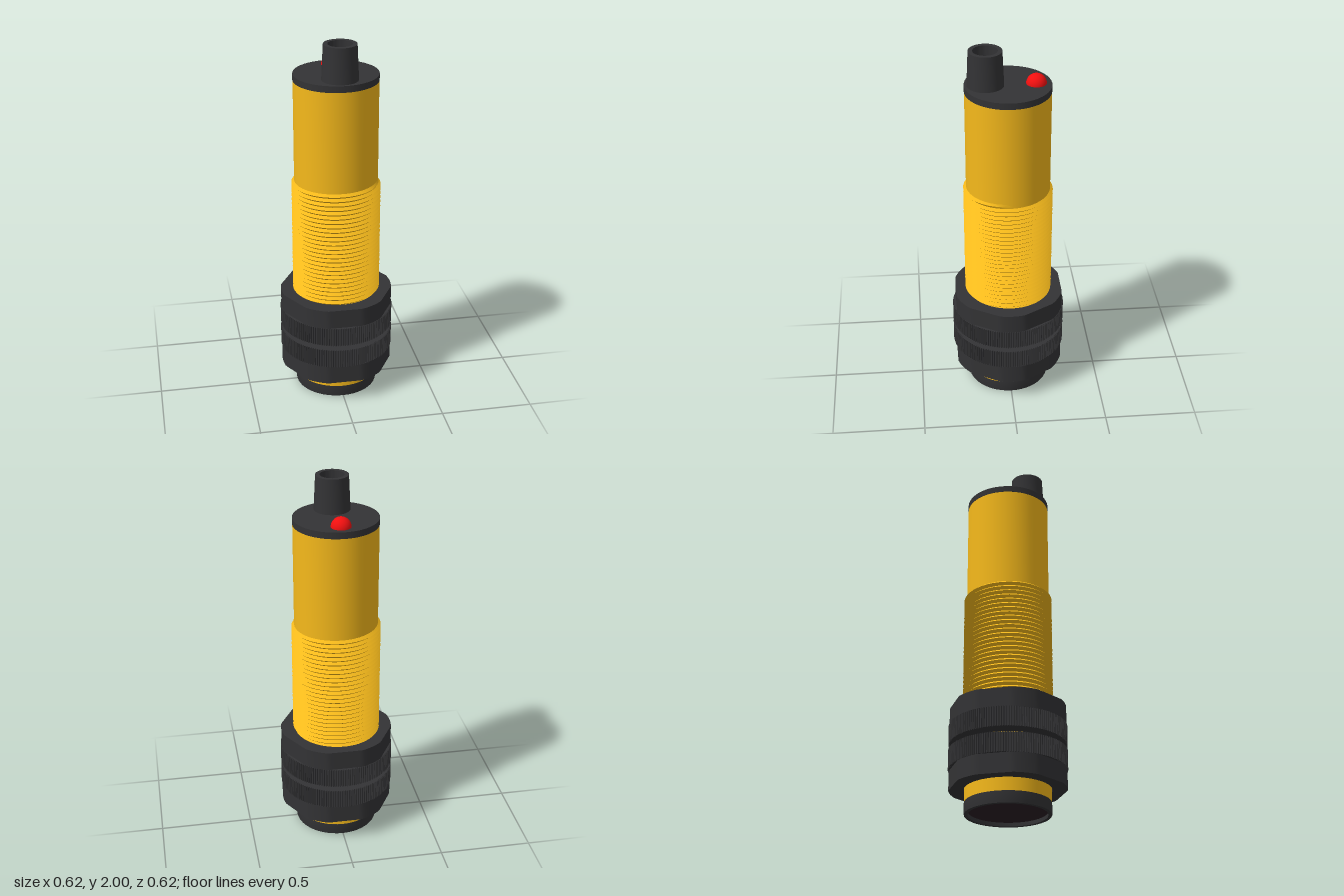
import * as THREE from 'three';
import { toCreasedNormals } from 'three/addons/utils/BufferGeometryUtils.js';

const yellow = new THREE.MeshStandardMaterial({ color: 0xf5b91b });
const black = new THREE.MeshStandardMaterial({ color: 0x333335 });
const red = new THREE.MeshStandardMaterial({ color: 0xf01010 });
const lensDark = new THREE.MeshStandardMaterial({ color: 0x2a1d24 });
const threadYellow = new THREE.MeshStandardMaterial({ color: 0xf5b91b, side: THREE.DoubleSide });

function add(parent, name, geometry, material, x = 0, y = 0, z = 0) {
  const mesh = new THREE.Mesh(geometry, material);
  mesh.name = name;
  mesh.position.set(x, y, z);
  parent.add(mesh);
  return mesh;
}

// Turned part from [radius, height] pairs, with sharp edges kept
function turned(points, segments = 48) {
  const profile = points.map(([r, y]) => new THREE.Vector2(r, y));
  return toCreasedNormals(new THREE.LatheGeometry(profile, segments), 0.6);
}

// Upright ring whose outline radius follows a function of the angle
function ring(radiusAt, steps, hole, height) {
  const points = [];
  for (let i = 0; i < steps; i++) {
    const a = (i / steps) * Math.PI * 2;
    const r = radiusAt(a, i);
    points.push(new THREE.Vector2(r * Math.cos(a), r * Math.sin(a)));
  }
  const shape = new THREE.Shape(points);
  shape.holes.push(new THREE.Path().absarc(0, 0, hole, 0, Math.PI * 2, true));
  const geometry = new THREE.ExtrudeGeometry(shape, { depth: height, bevelEnabled: false, curveSegments: 24 });
  return toCreasedNormals(geometry.rotateX(-Math.PI / 2), 0.3);
}

// V-shaped helical thread: each column climbs one pitch per turn
function helixThread(root, crest, y0, y1, pitch, segments) {
  const turns = Math.round((y1 - y0) / pitch) - 1;
  const total = turns * segments;
  const position = [], index = [];
  for (let i = 0; i <= total; i++) {
    const a = (i / segments) * Math.PI * 2;
    const y = y0 + (i / segments) * pitch;
    const fade = Math.min(1, i / 8, (total - i) / 8);
    const tip = root + (crest - root) * fade;
    [[root, 0], [tip, pitch / 2], [root, pitch]].forEach(([r, dy]) =>
      position.push(r * Math.cos(a), y + dy, -r * Math.sin(a)));
    if (i < total) {
      for (let k = 0; k < 2; k++) {
        const p = i * 3 + k;
        index.push(p, p + 3, p + 1, p + 1, p + 3, p + 4);
      }
    }
  }
  const geometry = new THREE.BufferGeometry();
  geometry.setAttribute('position', new THREE.Float32BufferAttribute(position, 3));
  geometry.setIndex(index);
  return toCreasedNormals(geometry, 0.5);
}

// Clipped hexagon with flats facing front and back
function hexRadius(a) {
  const sector = Math.PI / 3;
  const fromFlat = ((a + sector * 10) % sector) - sector / 2;
  return Math.min(0.306, 0.292 / Math.cos(fromFlat));
}

// Lock nut: hexagonal grip on a knurled flange
function lockNut(name) {
  const nut = new THREE.Group();
  nut.name = name;
  add(nut, 'knurledFlange', ring((a, i) => (i % 4 < 2 ? 0.31 : 0.303), 600, 0.228, 0.105), black);
  add(nut, 'hexGrip', ring(hexRadius, 120, 0.228, 0.105), black, 0, 0.105);
  return nut;
}

export function createModel() {
  const model = new THREE.Group();
  model.name = 'cylindricalSensor';

  // Barrel and thread
  add(model, 'barrel', turned([[0.21, 0.06], [0.224, 0.06], [0.224, 1.78], [0.21, 1.78]]), yellow);
  add(model, 'thread', helixThread(0.224, 0.239, 0.16, 1.235, 0.025, 48), threadYellow);

  // Nuts, mirrored flange to flange
  const upper = lockNut('upperNut');
  upper.position.y = 0.37;
  const lower = lockNut('lowerNut');
  lower.rotation.x = Math.PI;
  lower.position.y = 0.34;
  model.add(upper, lower);

  // Sensing end: rim with a recessed lens
  add(model, 'lensRim', turned([[0.205, 0.03], [0.205, 0], [0.224, 0], [0.225, 0.004], [0.225, 0.062], [0.2, 0.062]]), black);
  add(model, 'lens', new THREE.CylinderGeometry(0.206, 0.206, 0.02, 48), lensDark, 0, 0.03);

  // Cable end: cap, hollow strain relief and indicator light
  add(model, 'endCap', new THREE.CylinderGeometry(0.225, 0.225, 0.035, 48), black, 0, 1.7955);
  add(model, 'cableSleeve', turned([[0.096, 1.81], [0.087, 2], [0.064, 2], [0.064, 1.82], [0, 1.82]], 40), black, 0, 0, 0.115);
  add(model, 'indicatorLight', new THREE.SphereGeometry(0.053, 32, 20), red, 0, 1.812, -0.145);

  return model;
}
